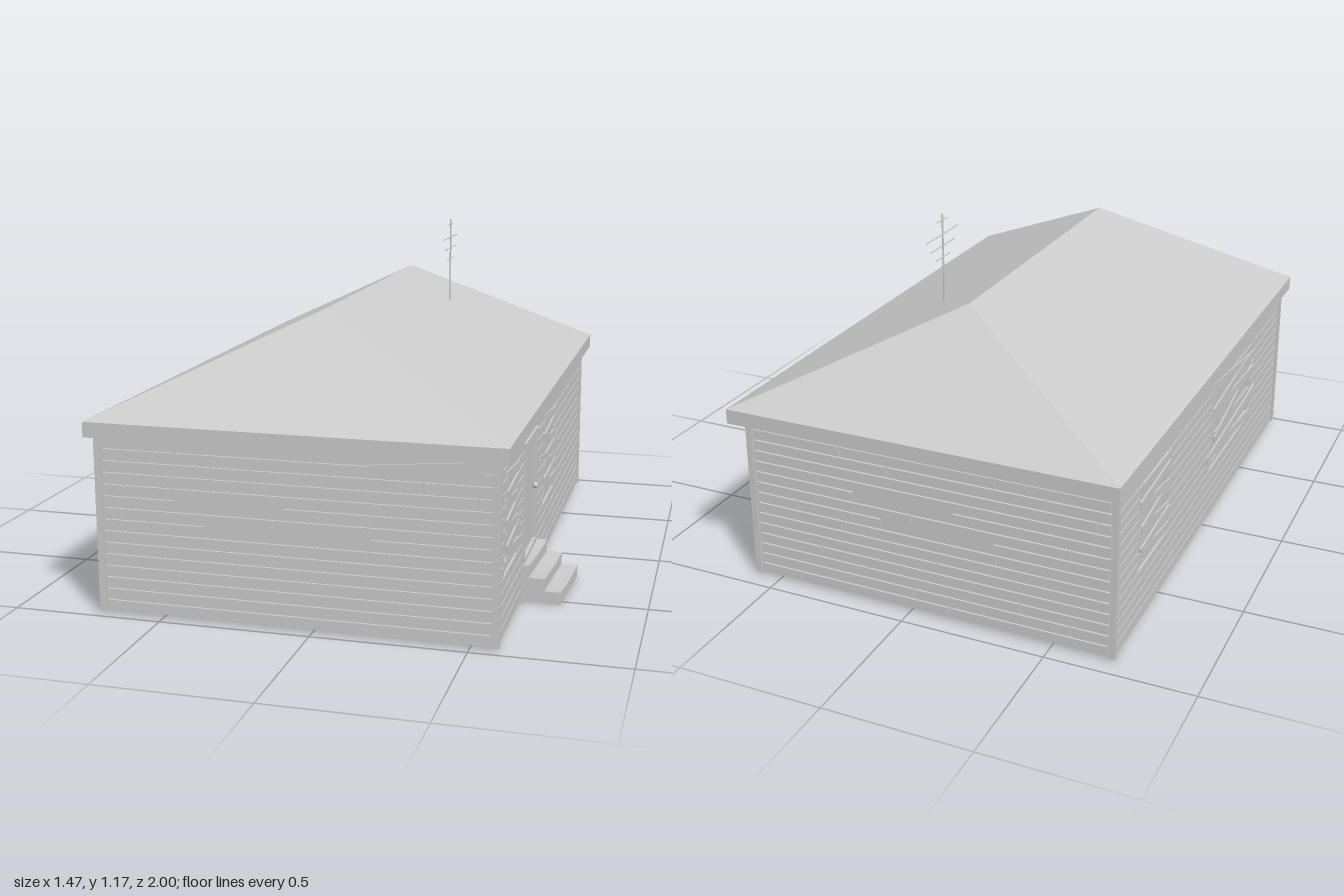
import * as THREE from 'three';

const mat = new THREE.MeshStandardMaterial({ color: 0xcccccc, flatShading: true, side: THREE.DoubleSide });
const X0 = -0.715, X1 = 0.592, Z0 = -0.94, Z1 = 0.975; // outer faces of the corner posts
const EAVE = 0.59, BASE = 0.01, RECESS = 0.014;

let seed = 7;
const rnd = () => (seed = (seed * 16807) % 2147483647) / 2147483647;

function add(parent, name, geo, x = 0, y = 0, z = 0) {
  const m = new THREE.Mesh(geo, mat);
  m.name = name;
  m.position.set(x, y, z);
  parent.add(m);
  return m;
}
const box = (parent, name, w, h, d, x, y, z) => add(parent, name, new THREE.BoxGeometry(w, h, d), x, y, z);

// Rectangle outline, usable as a shape or a hole
function rect(a, b, c, d, Type = THREE.Path) {
  const p = new Type();
  p.moveTo(a, c); p.lineTo(b, c); p.lineTo(b, d); p.lineTo(a, d); p.closePath();
  return p;
}

// Rectangular frame around an opening
function frame(parent, name, o, t, depth, z) {
  const s = rect(o.a, o.b, o.c, o.d, THREE.Shape);
  s.holes.push(rect(o.a + t, o.b - t, o.c + t, o.d - t));
  add(parent, name, new THREE.ExtrudeGeometry(s, { depth, bevelEnabled: false }), 0, 0, z);
}

// Window with mullions, transom, sill and crooked boards nailed outside
function windowUnit(wall, o) {
  const g = new THREE.Group();
  g.name = 'window';
  wall.add(g);
  const w = o.b - o.a, h = o.d - o.c, cx = (o.a + o.b) / 2, cy = (o.c + o.d) / 2;
  frame(g, 'windowFrame', o, 0.014, 0.026, -0.02);
  box(g, 'windowGlass', w, h, 0.002, cx, cy, -0.006);
  for (let i = 1; i < o.panes; i++) box(g, 'mullion', 0.01, h, 0.014, o.a + w * i / o.panes, cy, -0.008);
  box(g, 'transom', w, 0.01, 0.014, cx, o.c + h * 0.7, -0.008);
  box(g, 'innerSill', w + 0.02, 0.012, 0.03, cx, o.c, -0.02);
  for (let i = 0; i < 7; i++) {
    const b = box(g, 'nailedBoard', w * (0.88 + rnd() * 0.24), 0.03, 0.006,
      cx + (rnd() - 0.5) * 0.04, o.c + 0.03 + i * 0.042, 0.011 + (i % 2) * 0.003);
    b.rotation.z = (i % 2 ? 1 : -1) * (0.03 + rnd() * 0.13);
    b.rotation.y = (rnd() - 0.5) * 0.06;
  }
}

// Wall sheet with openings, clad in rows of staggered planks.
// Local x runs along the wall and local z points outwards.
function wall(parent, name, a, b, openings, gaps) {
  const g = new THREE.Group();
  g.name = name;
  parent.add(g);
  const s = rect(a, b, BASE, EAVE + 0.005, THREE.Shape);
  openings.forEach(o => s.holes.push(rect(o.a, o.b, o.c, o.d)));
  add(g, 'wallSheet', new THREE.ExtrudeGeometry(s, { depth: 0.01, bevelEnabled: false }), 0, 0, -0.01);
  const rows = 15, pitch = (EAVE - BASE) / rows;
  for (let r = 0; r < rows; r++) {
    const y0 = BASE + r * pitch, y1 = y0 + pitch;
    // Free spans left between openings and missing planks
    const cuts = [...openings, ...gaps].filter(o => o.c < y1 - 0.006 && o.d > y0 + 0.006).sort((p, q) => p.a - q.a);
    const spans = [];
    let u = a + 0.014;
    cuts.forEach(o => { spans.push([u, o.a]); u = Math.max(u, o.b); });
    spans.push([u, b - 0.014]);
    const joint = a + 0.17 + ((r * 5) % 7) * 0.085;
    for (const [s0, s1] of spans) {
      let p = s0;
      for (const j of [joint, joint + 0.55, joint + 1.1, s1]) {
        const e = Math.min(j, s1);
        if (e - p < 0.01) continue;
        box(g, 'plank', e - p - 0.004, pitch - 0.005, 0.008, (p + e) / 2, (y0 + y1) / 2, 0.004);
        p = e;
      }
    }
  }
  openings.filter(o => o.panes).forEach(o => windowUnit(g, o));
  return g;
}

export function createModel() {
  const house = new THREE.Group();
  house.name = 'house';
  const hole = (a, b, c, d, panes) => ({ a, b, c, d, panes });

  // Four walls
  const front = wall(house, 'frontWall', X0 + 0.01, X1 - 0.01, [],
    [hole(-0.45, -0.09, 0.36, 0.395), hole(-0.35, 0.19, 0.282, 0.316), hole(0.19, 0.6, 0.555, 0.59)]);
  front.position.z = Z1 - RECESS;
  const loose = box(front, 'loosePlank', 0.385, 0.036, 0.006, 0.38, 0.555, 0.012);
  loose.rotation.z = 0.09;

  const back = wall(house, 'backWall', -X1 + 0.01, -X0 - 0.01, [],
    [hole(-0.2, 0.16, 0.36, 0.395), hole(-0.1, 0.3, 0.282, 0.316)]);
  back.rotation.y = Math.PI;
  back.position.z = Z0 + RECESS;

  const doorway = hole(-0.52, -0.25, 0.125, 0.535);
  const right = wall(house, 'rightWall', -Z1 + 0.01, -Z0 - 0.01,
    [hole(-0.87, -0.65, 0.225, 0.505, 2), doorway, hole(-0.08, 0.16, 0.225, 0.505, 2)], []);
  right.rotation.y = Math.PI / 2;
  right.position.x = X1 - RECESS;

  const left = wall(house, 'leftWall', Z0 + 0.01, Z1 - 0.01,
    [hole(-0.73, -0.45, 0.215, 0.505, 2), hole(0.04, 0.56, 0.215, 0.505, 4)], []);
  left.rotation.y = -Math.PI / 2;
  left.position.x = X0 + RECESS;

  // Door
  frame(right, 'doorFrame', doorway, 0.014, 0.024, -0.01);
  box(right, 'door', 0.245, 0.385, 0.008, -0.385, 0.33, -0.003);
  add(right, 'doorKnob', new THREE.SphereGeometry(0.01, 10, 8), -0.295, 0.335, 0.012);

  // Corner posts
  for (const x of [X0 + 0.011, X1 - 0.011])
    for (const z of [Z0 + 0.011, Z1 - 0.011])
      box(house, 'cornerPost', 0.022, EAVE - BASE, 0.022, x, (EAVE + BASE) / 2, z);

  // Worn, slightly skewed door steps
  [0.735, 0.68, 0.627].forEach((x1, i) => {
    const w = x1 - 0.535, h = 0.042;
    const geo = new THREE.BoxGeometry(w, h, 0.29, 1, 1, 6);
    const p = geo.attributes.position;
    for (let k = 0; k < p.count; k++) {
      const t = p.getZ(k) / 0.29 + 0.5;
      if (p.getX(k) > 0) p.setX(k, p.getX(k) - 0.018 * t);
      if (p.getY(k) > 0) p.setY(k, p.getY(k) - 0.006 * Math.sin(Math.PI * t));
    }
    geo.computeVertexNormals();
    add(house, 'doorStep', geo, 0.535 + w / 2, h * (i + 0.5), 0.385);
  });

  // Eave ring, open in the middle
  const rx0 = -0.738, rx1 = 0.618, top = 0.64;
  const ring = rect(rx0, rx1, -1, 1, THREE.Shape);
  ring.holes.push(rect(rx0 + 0.075, rx1 - 0.075, -0.925, 0.925));
  const ringGeo = new THREE.ExtrudeGeometry(ring, { depth: top - EAVE, bevelEnabled: false });
  ringGeo.rotateX(-Math.PI / 2);
  add(house, 'eaves', ringGeo, 0, EAVE, 0);

  // Hipped roof: four eave corners and two ridge ends
  const c = [[rx0, top, 1], [rx1, top, 1], [rx1, top, -1], [rx0, top, -1], [-0.06, 0.965, 0.585], [-0.06, 0.965, -0.585]];
  const faces = [0, 1, 4, 1, 2, 5, 1, 5, 4, 2, 3, 5, 3, 0, 4, 3, 4, 5];
  const roof = new THREE.BufferGeometry();
  roof.setAttribute('position', new THREE.Float32BufferAttribute(faces.flatMap(i => c[i]), 3));
  roof.computeVertexNormals();
  add(house, 'roof', roof);

  // Aerial with four crossbars
  const aerial = new THREE.Group();
  aerial.name = 'aerial';
  aerial.position.set(0.148, 0, -0.355);
  house.add(aerial);
  add(aerial, 'aerialPole', new THREE.CylinderGeometry(0.003, 0.003, 0.315, 6), 0, 1.0175, 0);
  for (const [y, len] of [[1.155, 0.07], [1.105, 0.23], [1.065, 0.175], [1.025, 0.1]])
    add(aerial, 'aerialBar', new THREE.CylinderGeometry(0.0025, 0.0025, len, 6), 0, y, 0).rotation.x = Math.PI / 2;

  return house;
}
